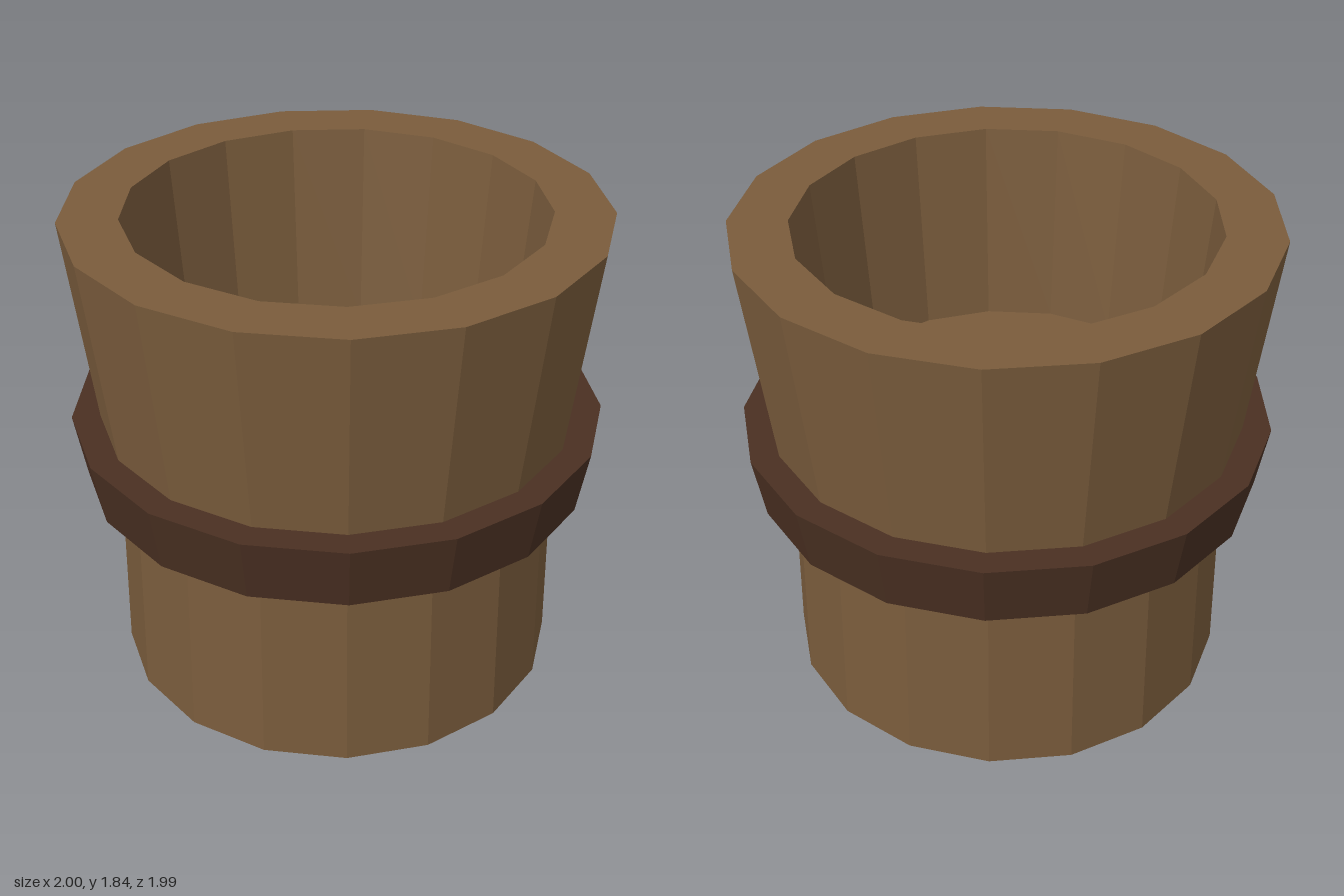
import * as THREE from 'three';

const SIDES = 17;
const wood = new THREE.MeshStandardMaterial({ color: 0x7a5c3c, flatShading: true });
const darkWood = new THREE.MeshStandardMaterial({ color: 0x4a3022, flatShading: true });

// Faceted turned part from a [radius, height] profile, one corner pointing to the back
function turned(name, profile, material) {
  const points = profile.map(([r, y]) => new THREE.Vector2(r, y));
  const geometry = new THREE.LatheGeometry(points, SIDES, Math.PI).toNonIndexed();
  geometry.computeVertexNormals();
  const mesh = new THREE.Mesh(geometry, material);
  mesh.name = name;
  return mesh;
}

export function createModel() {
  const group = new THREE.Group();
  group.name = 'woodenCup';

  // Slightly tapered foot with a closed underside
  const base = turned('base', [[0, 0], [0.851, 0], [0.838, 0.8]], wood);

  // Dark flared band around the waist
  const band = turned('band', [[0.838, 0.8], [0.961, 0.8], [1.004, 1.047], [0.897, 1.047]], darkWood);

  // Flared bowl: outer wall, thick rim, inner wall and floor
  const bowl = turned('bowl', [[0.897, 1.047], [0.994, 1.84], [0.775, 1.84], [0.705, 1.05], [0, 1.05]], wood);

  group.add(base, band, bowl);
  // Centre the odd-sided outline in depth
  group.children.forEach((part) => { part.position.z = 0.0085; });
  return group;
}
